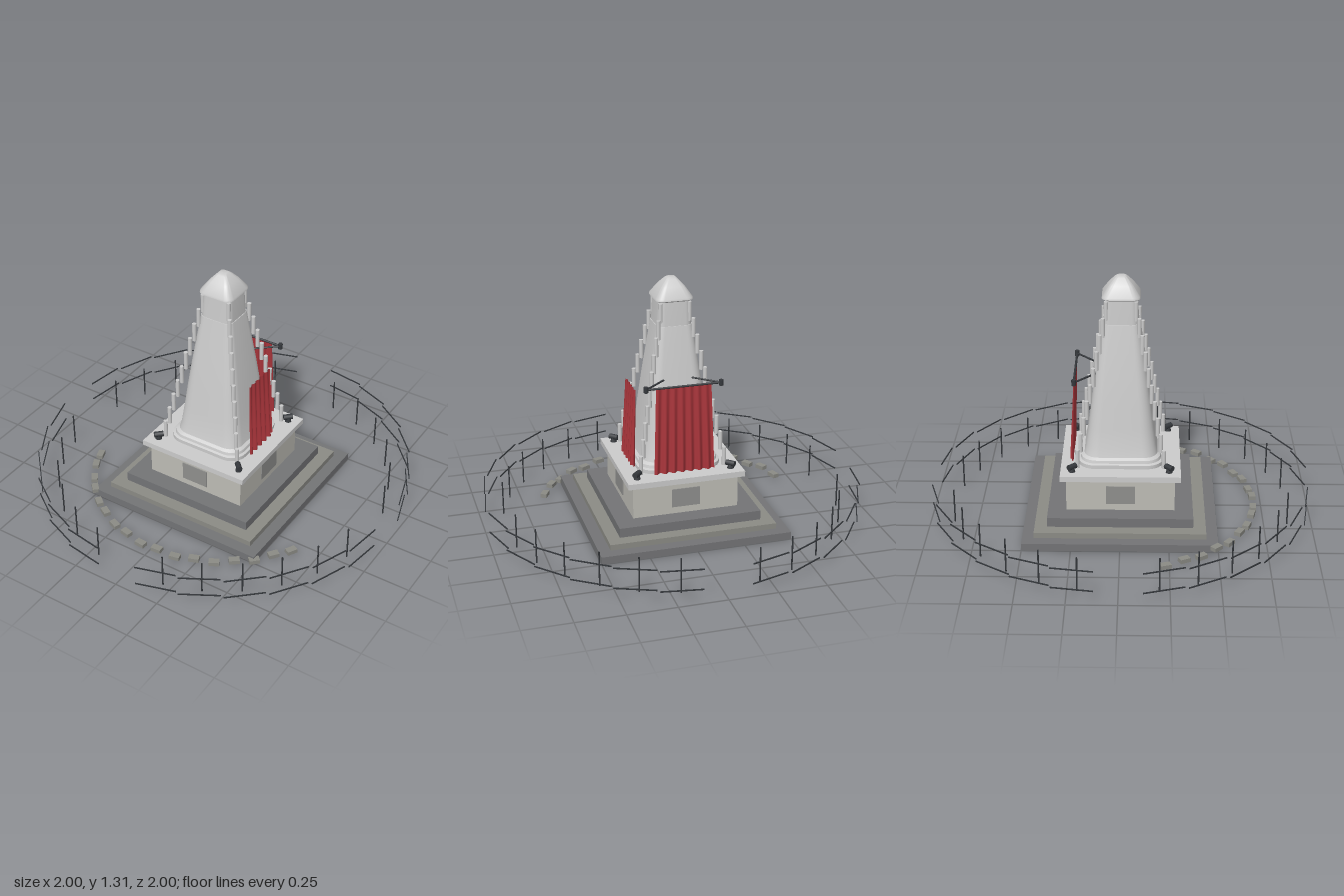
import * as THREE from 'three';
import { toCreasedNormals } from 'three/addons/utils/BufferGeometryUtils.js';

const mat = (color, side = THREE.FrontSide) => new THREE.MeshStandardMaterial({ color, side });
const stone = mat(0xcccccc), lightStone = mat(0xbdbcb5), darkStone = mat(0x737476);
const midStone = mat(0x8b8b85), plaqueGrey = mat(0x8f8f8d), iron = mat(0x35383c);
const red = mat(0xa8343a, THREE.DoubleSide);

function add(parent, name, geometry, material, x = 0, y = 0, z = 0) {
  const mesh = new THREE.Mesh(geometry, material);
  mesh.name = name;
  mesh.position.set(x, y, z);
  parent.add(mesh);
  return mesh;
}

// Straight round bar between two points
function rod(parent, name, a, b, radius, material) {
  const from = new THREE.Vector3(...a), to = new THREE.Vector3(...b);
  const dir = to.clone().sub(from);
  const mesh = add(parent, name, new THREE.CylinderGeometry(radius, radius, dir.length(), 8), material);
  mesh.position.copy(from).add(to).multiplyScalar(0.5);
  mesh.quaternion.setFromUnitVectors(new THREE.Vector3(0, 1, 0), dir.normalize());
  return mesh;
}

// Loft of rounded squares; profile holds [half width, height], bottom to top
function roundedSquareLoft(profile, roundness) {
  const steps = 6, ring = 4 * (steps + 1), pos = [], index = [];
  for (const [half, y] of profile) {
    const r = half * roundness;
    for (let c = 0; c < 4; c++) {
      const mid = Math.PI / 4 + c * Math.PI / 2;
      const cx = Math.sign(Math.cos(mid)) * (half - r), cz = Math.sign(Math.sin(mid)) * (half - r);
      for (let s = 0; s <= steps; s++) {
        const a = (c + s / steps) * Math.PI / 2;
        pos.push(cx + r * Math.cos(a), y, cz + r * Math.sin(a));
      }
    }
  }
  for (let i = 0; i < profile.length - 1; i++) {
    for (let j = 0; j < ring; j++) {
      const a = i * ring + j, b = i * ring + (j + 1) % ring;
      index.push(a, a + ring, b, b, a + ring, b + ring);
    }
  }
  // Closed ends
  const top = (profile.length - 1) * ring;
  for (let j = 1; j < ring - 1; j++) {
    index.push(0, j, j + 1, top, top + j + 1, top + j);
  }
  const g = new THREE.BufferGeometry();
  g.setAttribute('position', new THREE.Float32BufferAttribute(pos, 3));
  g.setIndex(index);
  return toCreasedNormals(g, 0.6);
}

// Pleated cloth hanging down from its origin, flaring and leaning out (+z)
function bannerGeometry(topWidth, bottomWidth, height, lean, folds) {
  const g = new THREE.PlaneGeometry(1, height, folds * 10, 8);
  g.translate(0, -height / 2, 0);
  const p = g.attributes.position;
  for (let i = 0; i < p.count; i++) {
    const u = p.getX(i), t = -p.getY(i) / height;
    p.setX(i, u * (topWidth + (bottomWidth - topWidth) * t));
    p.setZ(i, lean * t + (0.004 + 0.006 * t) * Math.sin((u + 0.5) * folds * 2 * Math.PI));
  }
  g.computeVertexNormals();
  return g;
}

export function createModel() {
  const model = new THREE.Group();

  // Stepped base, plinth and ledge: half width, bottom, top
  [
    ['lowerStep', 0.5, 0, 0.04, darkStone],
    ['middleStep', 0.44, 0.04, 0.07, midStone],
    ['upperStep', 0.375, 0.07, 0.12, darkStone],
    ['plinth', 0.28, 0.12, 0.295, lightStone],
    ['plinthLedge', 0.31, 0.295, 0.325, stone],
  ].forEach(([name, half, y0, y1, m]) =>
    add(model, name, new THREE.BoxGeometry(half * 2, y1 - y0, half * 2), m, 0, (y0 + y1) / 2, 0));

  // Plaques on the four plinth faces
  for (let i = 0; i < 4; i++) {
    const a = i * Math.PI / 2;
    add(model, 'plaque', new THREE.BoxGeometry(0.15, 0.1, 0.008), plaqueGrey,
      Math.sin(a) * 0.281, 0.207, Math.cos(a) * 0.281).rotation.y = a;
  }

  // Tapering tower with moulded foot, neck and pointed cap
  add(model, 'towerShaft', roundedSquareLoft([
    [0.22, 0.325], [0.22, 0.345], [0.208, 0.35], [0.205, 0.365], [0.19, 0.375], [0.18, 0.42], [0.167, 0.52],
    [0.153, 0.64], [0.135, 0.78], [0.115, 0.92], [0.093, 1.07],
  ], 0.4), stone);
  add(model, 'towerNeck', roundedSquareLoft([[0.09, 1.06], [0.083, 1.2]], 0.4), stone);
  add(model, 'towerCap', roundedSquareLoft([
    [0.085, 1.195], [0.098, 1.203], [0.096, 1.213], [0.06, 1.265], [0.03, 1.298], [0.018, 1.306],
  ], 0.4), stone);

  // Stepped rows of small columns and a finial at each corner
  const columns = 10;
  for (const sx of [-1, 1]) for (const sz of [-1, 1]) {
    for (let i = 0; i < columns; i++) {
      const t = i / (columns - 1), d = 0.222 - 0.146 * t;
      add(model, 'cornerColumn', new THREE.CylinderGeometry(0.011, 0.011, 0.1, 10), stone,
        sx * d, 0.385 + 0.755 * t, sz * d);
    }
    rod(model, 'finialBarrel', [sx * 0.232, 0.352, sz * 0.232], [sx * 0.267, 0.352, sz * 0.267], 0.015, iron);
    add(model, 'finialFoot', new THREE.CylinderGeometry(0.012, 0.018, 0.025, 10), iron, sx * 0.25, 0.337, sz * 0.25);
  }

  // Rear banner bar with its two brackets and end knobs
  rod(model, 'bannerBar', [-0.2, 0.8, -0.237], [0.2, 0.8, -0.237], 0.006, iron);
  for (const s of [-1, 1]) {
    rod(model, 'bannerBracket', [s * 0.065, 0.8, -0.12], [s * 0.197, 0.8, -0.237], 0.005, iron);
    add(model, 'barKnob', new THREE.CylinderGeometry(0.012, 0.012, 0.03, 10), iron, s * 0.197, 0.8, -0.237);
  }

  // Red banners at the back and on the left side
  add(model, 'backBanner', bannerGeometry(0.29, 0.32, 0.46, 0.018, 7), red, 0, 0.8, -0.237).rotation.y = Math.PI;
  add(model, 'sideBanner', bannerGeometry(0.2, 0.226, 0.415, 0.018, 5), red, 0.216, 0.745, 0).rotation.y = Math.PI / 2;

  // Ring fence with a gap on each of the four axes
  const postGeo = new THREE.CylinderGeometry(0.004, 0.004, 0.185, 6);
  const railGeo = new THREE.BoxGeometry(0.21, 0.006, 0.005);
  for (let k = 0; k < 28; k++) {
    if (k % 7 === 0) continue;
    const a = k / 28 * Math.PI * 2;
    add(model, 'fencePost', postGeo, iron, Math.sin(a) * 0.895, 0.0925, Math.cos(a) * 0.895);
    for (const y of [0.065, 0.172]) {
      add(model, 'fenceRail', railGeo, iron, Math.sin(a) * 0.99, y, Math.cos(a) * 0.99).rotation.y = a + 0.07;
    }
  }

  // Arc of border blocks in front, alternating in height
  const blockGeo = new THREE.BoxGeometry(0.055, 0.022, 0.035);
  for (let i = 0; i < 17; i++) {
    const a = THREE.MathUtils.degToRad(-71 + i * 8.3);
    add(model, 'borderBlock', blockGeo, midStone,
      Math.sin(a) * 0.706, i % 2 ? 0.033 : 0.02, Math.cos(a) * 0.706).rotation.y = a;
  }

  return model;
}
